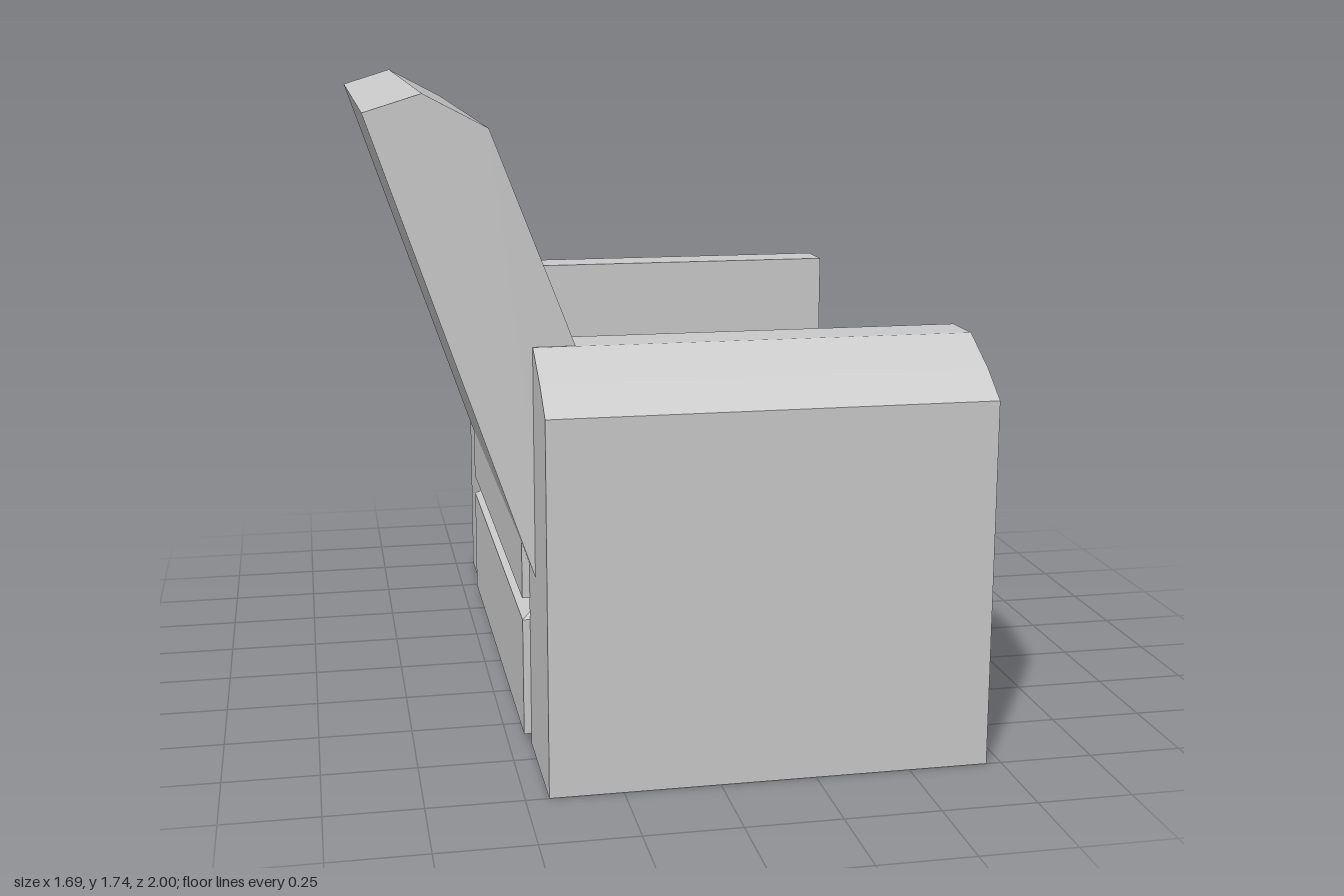
import * as THREE from 'three';

const material = new THREE.MeshStandardMaterial({ color: 0xcccccc, flatShading: true });

// Extrude a closed outline along z, centred on z = 0
function extrude(points, depth) {
  const shape = new THREE.Shape(points.map(([x, y]) => new THREE.Vector2(x, y)));
  const geometry = new THREE.ExtrudeGeometry(shape, { depth, bevelEnabled: false });
  return geometry.translate(0, 0, -depth / 2);
}

function box(x0, x1, y0, y1, width) {
  return new THREE.BoxGeometry(x1 - x0, y1 - y0, width)
    .translate((x0 + x1) / 2, (y0 + y1) / 2, 0);
}

export function createModel() {
  const chair = new THREE.Group();
  chair.name = 'armchair';
  const add = (name, geometry) => {
    const mesh = new THREE.Mesh(geometry, material);
    mesh.name = name;
    chair.add(mesh);
  };

  // Armrests: outline in (outward, up), rounded down on the outer side
  const armOutline = [[0.645, 0], [1, 0], [1, 0.97], [0.91, 1.035], [0.78, 1.105], [0.645, 1.105]];
  for (const side of [1, -1]) {
    const arm = extrude(armOutline, 1.15).rotateY(-side * Math.PI / 2).translate(0.135, 0, 0);
    add(side > 0 ? 'armrestFront' : 'armrestRear', arm);
  }

  // Reclined backrest, its foot sunk between and into the armrests
  add('backrest', extrude([
    [-0.38, 0.33], [-0.08, 0.45], [-0.54, 1.65], [-0.70, 1.735], [-0.845, 1.69],
  ], 1.55));

  // Seat cushion
  add('seatCushion', box(-0.46, 0.845, 0.41, 0.73, 1.3));

  // Base block
  add('base', box(-0.46, 0.845, 0.03, 0.35, 1.3));

  // Tapered top of the base: a box whose upper corners are drawn inward
  const taper = box(-0.46, 0.845, 0.35, 0.41, 1.3);
  const p = taper.attributes.position;
  for (let i = 0; i < p.count; i++) {
    if (p.getY(i) > 0.38) {
      p.setX(i, p.getX(i) - Math.sign(p.getX(i)) * 0.09);
      p.setZ(i, p.getZ(i) - Math.sign(p.getZ(i)) * 0.085);
    }
  }
  taper.computeVertexNormals();
  add('baseTaper', taper);

  return chair;
}
